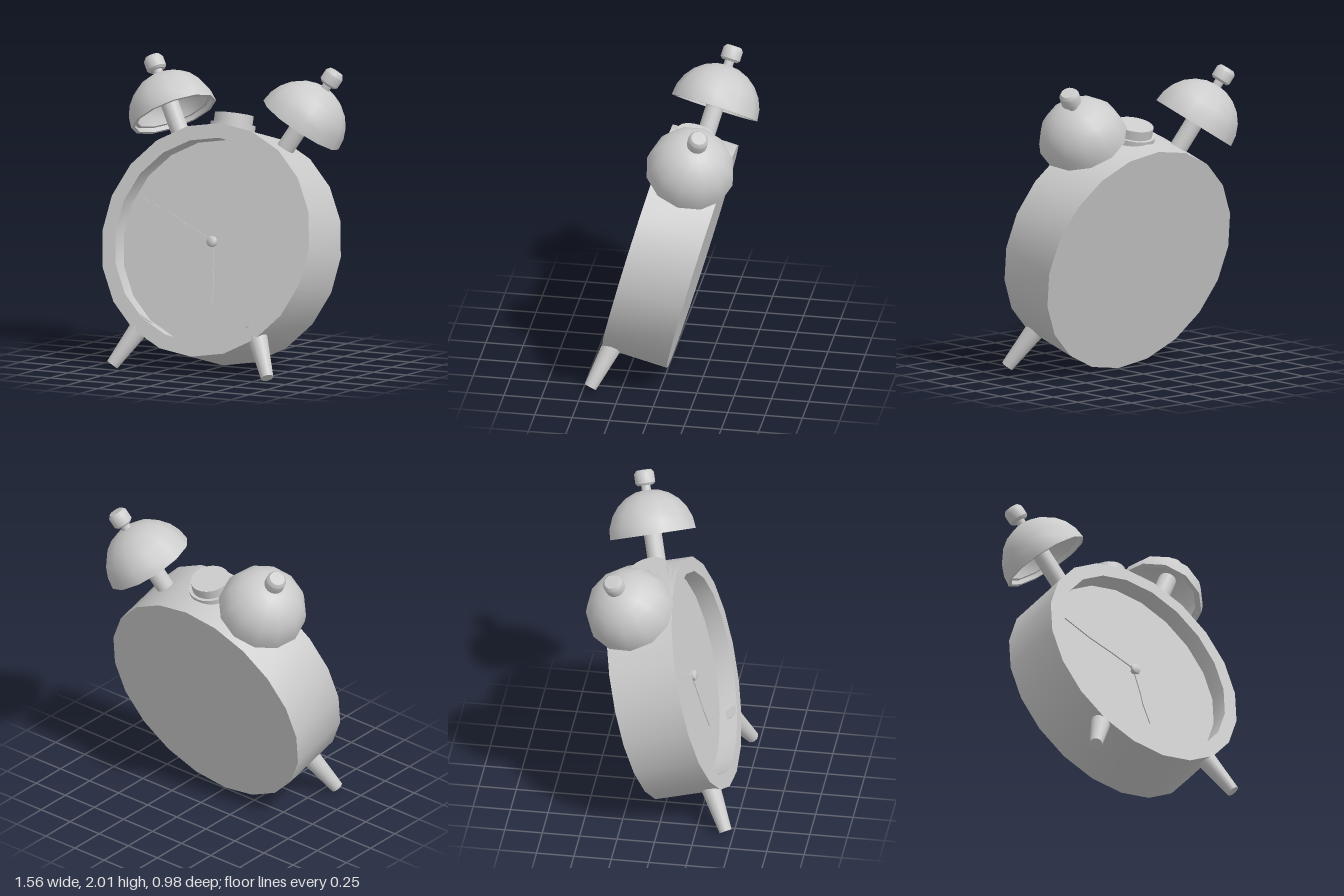
import * as THREE from 'three';
import { toCreasedNormals } from 'three/addons/utils/BufferGeometryUtils.js';

const TILT = THREE.MathUtils.degToRad(15);
const BELL_ANGLE = THREE.MathUtils.degToRad(30);
const grey = new THREE.MeshStandardMaterial({ color: 0xcccccc });

function add(parent, name, geometry) {
  const mesh = new THREE.Mesh(geometry, grey);
  mesh.name = name;
  parent.add(mesh);
  return mesh;
}

// Turned part from [radius, height] pairs, sharp at its edges
function turned(profile, segments) {
  const points = profile.map(([r, y]) => new THREE.Vector2(r, y));
  return toCreasedNormals(new THREE.LatheGeometry(points, segments), 0.7);
}

// Arc of a dome between two elevations in degrees
function arc(radius, from, to, steps) {
  return Array.from({ length: steps + 1 }, (_, i) => {
    const a = THREE.MathUtils.degToRad(from + ((to - from) * i) / steps);
    return [Math.max(0, radius * Math.cos(a)), radius * Math.sin(a)];
  });
}

// Slim leaf-shaped clock hand pointing along +y
function handGeometry(length, halfWidth) {
  const outline = [[-0.009, 0], [0.009, 0], [0.009, 0.2], [halfWidth, length * 0.65],
    [0.004, length], [-0.004, length], [-halfWidth, length * 0.65], [-0.009, 0.2]];
  const shape = new THREE.Shape(outline.map(([x, y]) => new THREE.Vector2(x, y)));
  return new THREE.ExtrudeGeometry(shape, { depth: 0.008, bevelEnabled: false });
}

// Bell with its post and knob, measured along the radius from the body's centre
function makeBell(side) {
  const bell = new THREE.Group();
  bell.name = side > 0 ? 'leftBell' : 'rightBell';
  const dome = add(bell, 'dome', turned([
    ...arc(0.25, 90, 7, 6), [0.272, 0.03], [0.272, 0], ...arc(0.297, 0, 90, 6),
  ], 12));
  dome.position.y = 0.96;
  const post = add(bell, 'post', new THREE.CylinderGeometry(0.06, 0.06, 0.5, 16));
  post.position.y = 0.95;
  const neck = add(bell, 'neck', new THREE.CylinderGeometry(0.032, 0.032, 0.12, 12));
  neck.position.y = 1.26;
  add(bell, 'knob', turned([
    [0, 1.285], [0.052, 1.285], [0.067, 1.3], [0.067, 1.365], [0.05, 1.388], [0, 1.39],
  ], 16));
  bell.position.z = 0.225;
  bell.rotation.z = -side * BELL_ANGLE;
  return bell;
}

export function createModel() {
  const model = new THREE.Group();
  model.name = 'alarmClock';

  // Everything but the feet leans back together
  const clock = new THREE.Group();
  clock.name = 'clock';
  clock.position.set(0, 0.763, -0.202);
  clock.rotation.x = -TILT;
  model.add(clock);

  // Drum with a rim and a recessed dial
  const drum = turned([
    [0, 0], [0.78, 0], [0.78, 0.45], [0.682, 0.45], [0.682, 0.33], [0, 0.33],
  ], 20);
  add(clock, 'body', drum.rotateX(Math.PI / 2));

  // Hands and centre pin
  const minute = add(clock, 'minuteHand', handGeometry(0.6, 0.018));
  minute.position.z = 0.357;
  minute.rotation.z = Math.atan2(0.55, 0.243);
  const hour = add(clock, 'hourHand', handGeometry(0.43, 0.016));
  hour.position.z = 0.345;
  hour.rotation.z = Math.PI + Math.atan2(0.045, 0.43);
  const pin = turned([
    [0.018, 0.32], [0.018, 0.352], [0.037, 0.355], [0.037, 0.37], [0.026, 0.38], [0, 0.382],
  ], 12);
  add(clock, 'centrePin', pin.rotateX(Math.PI / 2));

  // Button on top with its collar
  const collar = add(clock, 'buttonCollar', new THREE.CylinderGeometry(0.15, 0.15, 0.06, 24));
  collar.position.set(0, 0.768, 0.275);
  const button = add(clock, 'button', new THREE.CylinderGeometry(0.129, 0.129, 0.08, 24));
  button.position.set(0, 0.822, 0.275);

  for (const side of [1, -1]) {
    clock.add(makeBell(side));

    // Tapered foot splayed outward and forward
    const bottom = new THREE.Vector3(side * 0.585, 0.03, 0.45);
    const up = new THREE.Vector3(-side * 0.58, 1, -0.5).normalize();
    const length = 0.38;
    const foot = add(model, side > 0 ? 'leftFoot' : 'rightFoot',
      new THREE.CylinderGeometry(0.072, 0.042, length, 16));
    foot.quaternion.setFromUnitVectors(new THREE.Vector3(0, 1, 0), up);
    foot.position.copy(bottom).addScaledVector(up, length / 2);
  }
  return model;
}
